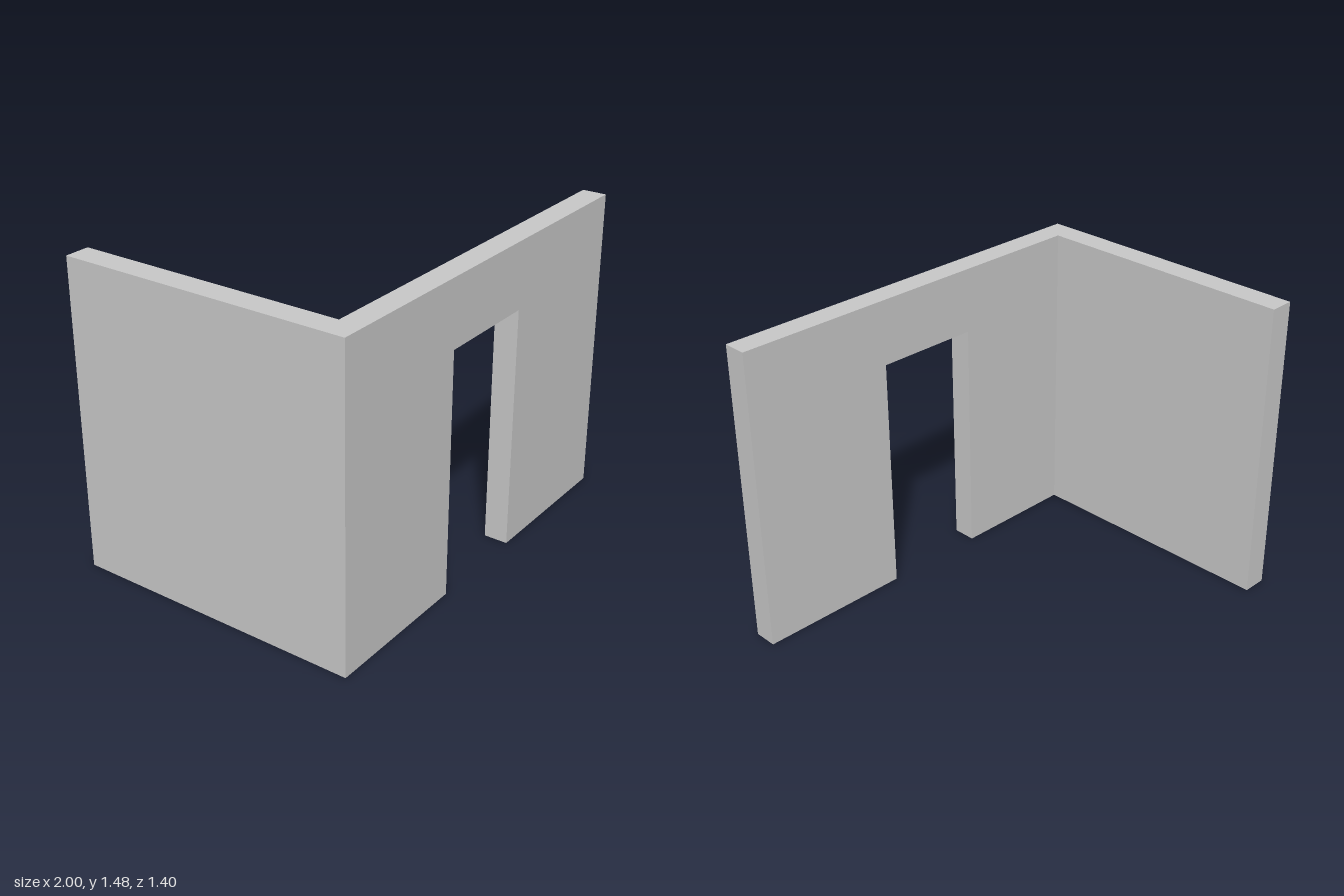
import * as THREE from 'three';

const HEIGHT = 1.475;
const DEPTH = 0.7;        // half depth
const INNER_X = -0.88;    // inner face of the side wall
const INNER_Z = 0.585;    // inner face of the front wall
const DOOR = { left: -0.265, right: 0.247, top: 1.16 };

export function createModel() {
  const group = new THREE.Group();
  group.name = 'cornerWalls';
  const plaster = new THREE.MeshStandardMaterial({ color: 0xc9c9c9 });
  plaster.name = 'light grey plaster';

  // Front wall, cut by a doorway that reaches the floor
  const outline = new THREE.Shape([
    [-1, 0], [DOOR.left, 0], [DOOR.left, DOOR.top], [DOOR.right, DOOR.top],
    [DOOR.right, 0], [1, 0], [1, HEIGHT], [-1, HEIGHT],
  ].map(([x, y]) => new THREE.Vector2(x, y)));
  const frontGeometry = new THREE.ExtrudeGeometry(outline, {
    depth: DEPTH - INNER_Z, bevelEnabled: false,
  });
  frontGeometry.translate(0, 0, INNER_Z);
  const frontWall = new THREE.Mesh(frontGeometry, plaster);
  frontWall.name = 'frontWallWithDoorway';

  // Plain side wall, butting against the back of the front wall
  const sideWall = new THREE.Mesh(
    new THREE.BoxGeometry(INNER_X + 1, HEIGHT, INNER_Z + DEPTH), plaster);
  sideWall.position.set((INNER_X - 1) / 2, HEIGHT / 2, (INNER_Z - DEPTH) / 2);
  sideWall.name = 'sideWall';

  group.add(frontWall, sideWall);
  return group;
}
